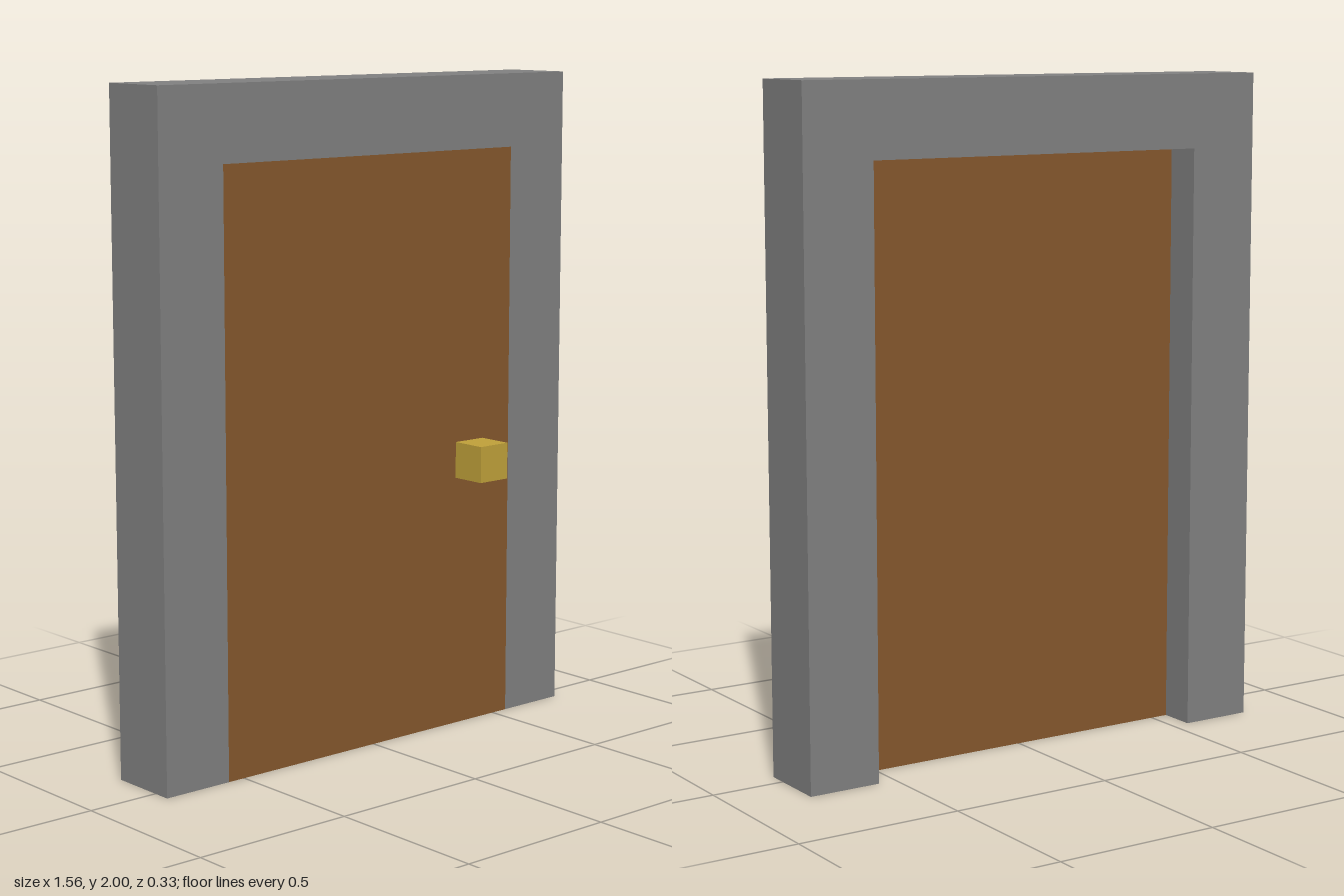
import * as THREE from 'three';

// The whole doorway sits on a grid of 1/18 unit
const U = 1 / 18;

function material(name, color) {
  const m = new THREE.MeshStandardMaterial({ color });
  m.name = name;
  return m;
}

// Box given by its grid bounds
function block(name, mat, [x0, x1], [y0, y1], [z0, z1]) {
  const geometry = new THREE.BoxGeometry((x1 - x0) * U, (y1 - y0) * U, (z1 - z0) * U);
  const mesh = new THREE.Mesh(geometry, mat);
  mesh.position.set((x0 + x1) * U / 2, (y0 + y1) * U / 2, (z0 + z1) * U / 2);
  mesh.name = name;
  return mesh;
}

export function createModel() {
  const model = new THREE.Group();
  model.name = 'doorway';
  const stone = material('stone grey', 0x808080);
  const wood = material('wood brown', 0x84572d);
  const brass = material('brass yellow', 0xbfa03a);

  // Frame: two posts and a lintel as one solid, open at the floor
  const outline = new THREE.Shape(
    [[-14, 0], [-10, 0], [-10, 32], [10, 32], [10, 0], [14, 0], [14, 36], [-14, 36]]
      .map(([x, y]) => new THREE.Vector2(x * U, y * U))
  );
  const frame = new THREE.Mesh(
    new THREE.ExtrudeGeometry(outline, { depth: 4 * U, bevelEnabled: false }), stone
  );
  frame.position.z = -3 * U;
  frame.name = 'frame';
  model.add(frame);

  // Door panel: flush with the front of the frame, recessed at the back
  model.add(block('doorPanel', wood, [-10, 10], [0, 32], [-1, 1]));

  // Knob on the front only
  model.add(block('knob', brass, [6, 8], [14, 16], [1, 3]));

  return model;
}
